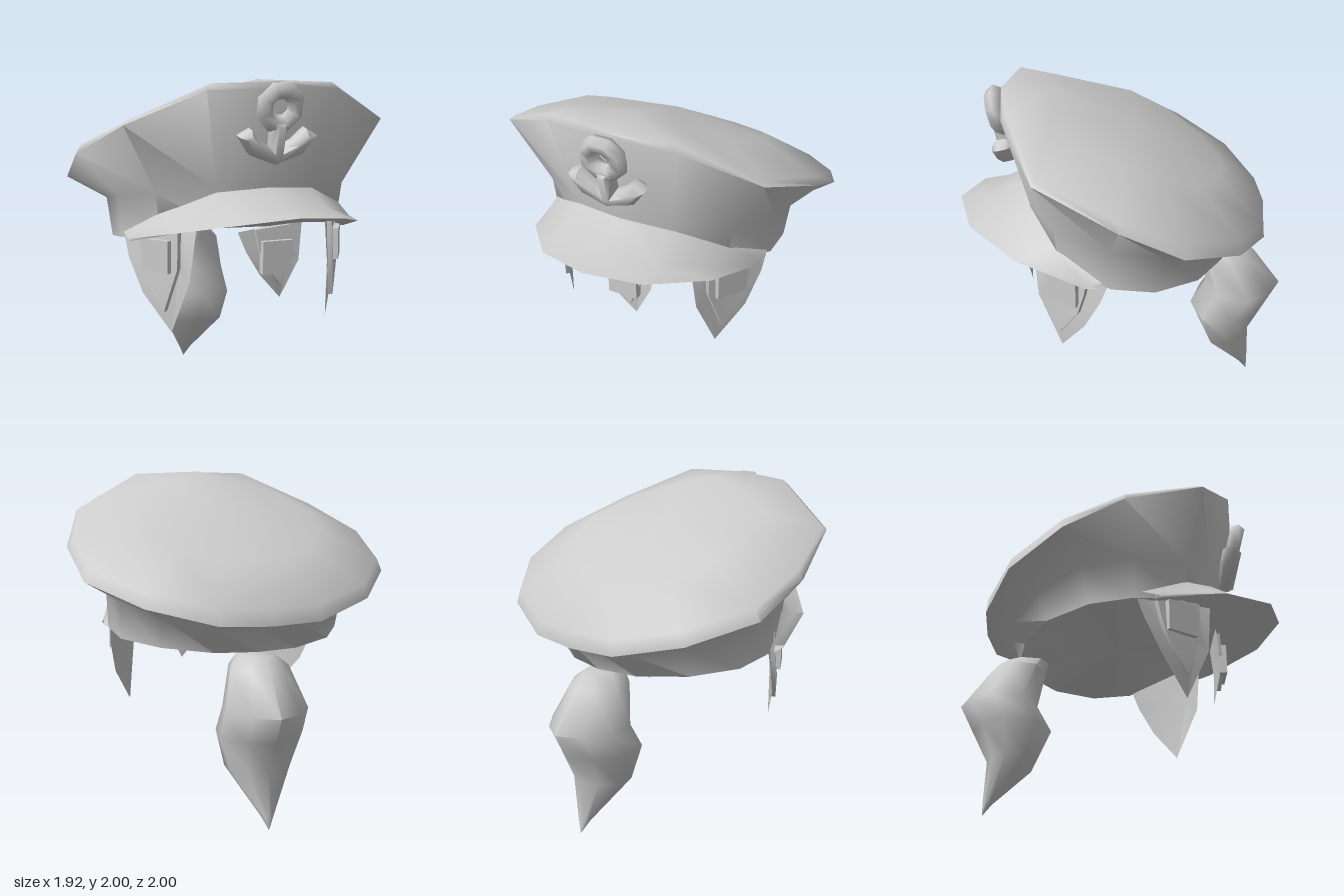
import * as THREE from 'three';
import { toCreasedNormals } from 'three/addons/utils/BufferGeometryUtils.js';

const mat = new THREE.MeshStandardMaterial({ color: 0xcccccc, side: THREE.DoubleSide });

function mesh(name, geo) {
  const m = new THREE.Mesh(geo, mat);
  m.name = name;
  return m;
}

// Surface through rows of equal point count; closed rows wrap around.
function loft(rows, closed, crease) {
  const n = rows[0].length, index = [];
  for (let r = 0; r < rows.length - 1; r++) {
    for (let i = 0; i < (closed ? n : n - 1); i++) {
      const a = r * n + i, b = r * n + (i + 1) % n;
      index.push(a, b, a + n, b, b + n, a + n);
    }
  }
  const g = new THREE.BufferGeometry();
  g.setAttribute('position', new THREE.Float32BufferAttribute(rows.flat(2), 3));
  g.setIndex(index);
  return toCreasedNormals(g, crease);
}

const flip = ([x, y, z]) => [-x, y, z];
// Half outline from front to back -> full closed ring.
const ring = (h) => [...h, ...h.slice(1, -1).reverse().map(flip)];
// Half row from the middle outwards -> full open row.
const row = (h) => [...h.slice(1).reverse().map(flip), ...h];
const point = (p, n) => Array(n).fill(p);

// Cap: underside, band, flared crown and shallow domed top
function cap() {
  const bottom = ring([[0, 1.18, .58], [.3, 1.18, .53], [.57, 1.14, .36], [.71, 1.07, .05],
    [.69, 1.04, -.2], [.52, 1.02, -.45], [.25, 1, -.6], [0, 1, -.65]]);
  const band = ring([[0, 1.4, .59], [.3, 1.4, .54], [.6, 1.37, .37], [.72, 1.32, .05],
    [.71, 1.27, -.25], [.53, 1.2, -.51], [.25, 1.15, -.67], [0, 1.14, -.7]]);
  const rim = ring([[0, 1.96, .715], [.4, 1.95, .66], [.81, 1.76, .46], [.96, 1.57, 0],
    [.93, 1.4, -.35], [.67, 1.28, -.67], [.3, 1.19, -.84], [0, 1.18, -.865]]);
  const edge = ring([[0, 1.995, .71], [.37, 1.985, .64], [.79, 1.78, .44], [.93, 1.62, 0],
    [.9, 1.47, -.35], [.65, 1.36, -.66], [.3, 1.28, -.83], [0, 1.27, -.86]]);
  const dome = ring([[0, 2, .42], [.25, 1.94, .38], [.5, 1.85, .25], [.58, 1.76, -.03],
    [.55, 1.66, -.25], [.4, 1.56, -.45], [.18, 1.51, -.57], [0, 1.5, -.6]]);
  return mesh('cap', loft([point([0, 1.09, -.04], 14), bottom, band, rim, edge, dome,
    point([0, 1.79, -.1], 14)], true, 1.35));
}

// Visor wrapping the front of the band
function visor() {
  return mesh('visor', loft([
    [[0, 1.17, .57], [.3, 1.17, .52], [.57, 1.13, .35], [.7, 1.06, .12]],
    [[0, 1.28, 1], [.32, 1.245, .9], [.585, 1.17, .6], [.71, 1.07, .2]],
    [[0, 1.3, .82], [.3, 1.285, .74], [.57, 1.19, .52], [.715, 1.085, .2]],
    [[0, 1.4, .58], [.3, 1.38, .53], [.58, 1.25, .365], [.71, 1.11, .1]],
  ].map(row), false, 1.4));
}

// Anchor badge leaning with the crown front
function badge() {
  const g = new THREE.Group();
  g.name = 'anchorBadge';
  const loop = mesh('anchorRing', new THREE.TorusGeometry(.098, .052, 6, 8));
  loop.position.y = .15;
  loop.rotation.z = Math.PI / 8;
  const half = [[.045, .08], [.04, -.075], [.095, -.04], [.165, .03], [.235, -.01], [.16, -.115]];
  const outline = [...half, [0, -.175], ...half.slice().reverse().map(([x, y]) => [-x, y])];
  const hook = mesh('anchorHook', toCreasedNormals(new THREE.ExtrudeGeometry(
    new THREE.Shape(outline.map(([x, y]) => new THREE.Vector2(x, y))),
    { depth: .05, bevelThickness: .035, bevelSize: .025, bevelOffset: -.025, bevelSegments: 1 }), 1));
  hook.position.z = -.025;
  g.add(loop, hook);
  g.position.set(0, 1.71, .7);
  g.rotation.x = .24;
  return g;
}

// Pointed lock: bowed leaf with a plain back, a raised inner leaf and a clasp block
function lock(name, sy, clasp) {
  const outer = [[-.28, 1.19, 0], [-.24, .85, .02], [-.09, .53, 0], [.1, .75, .03], [.21, .95, .02], [.27, 1.12, 0]];
  const inner = [[-.17, 1.17, 0], [-.17, .92, .01], [-.07, .66, .01], [.07, .84, .02], [.11, .97, .01], [.14, 1.14, 0]];
  const lift = (pts, d) => pts.map(([u, y, n]) => [u, 1.18 + (y - 1.17) * sy, n + d]);
  const mid = (d) => point([-.02, 1.18 + (.95 - 1.17) * sy, d], 6);
  const g = new THREE.Group();
  g.name = name;
  const block = mesh('clasp', new THREE.BoxGeometry(clasp, .19, .05));
  block.position.set(-.025, 1, .05);
  g.add(mesh('leaf', loft([mid(.005), lift(outer, 0), lift(inner, .005), lift(inner, .035), mid(.045)],
    true, .5)), block);
  return g;
}

// Faceted tail hanging behind: [y, front z, back z, half width, front corner width]
function tail() {
  const rows = [[.985, -.62, -.62, 0, 0], [.985, -.47, -.77, .1, .08], [.92, -.485, -.83, .175, .14],
    [.69, -.53, -1, .25, .2], [.53, -.44, -.92, .255, .21], [.33, -.53, -.82, .185, .18],
    [.08, -.77, -.83, .04, .035], [0, -.83, -.83, 0, 0]];
  return mesh('tail', loft(rows.map(([y, zf, zb, w, c]) => {
    const d = zf - zb;
    return ring([[0, y, zf], [c, y, zf - d * .14], [w, y, zb + d * .45], [w * .55, y, zb + d * .16], [0, y, zb]]);
  }).reverse(), true, 1.3));
}

export function createModel() {
  const group = new THREE.Group();
  group.add(cap(), visor(), badge(), tail());

  // Side locks, mirrored
  for (const s of [1, -1]) {
    const side = new THREE.Group();
    side.name = s > 0 ? 'leftLock' : 'rightLock';
    const l = lock('sideLock', 1, .2);
    l.position.set(.555, 0, .28);
    l.rotation.y = 1.01;
    side.add(l);
    side.scale.x = s;
    group.add(side);
  }

  // Middle lock, narrower and shorter
  const middle = lock('middleLock', .68, .25);
  middle.position.set(.02, 0, .57);
  middle.scale.x = -.74;
  group.add(middle);
  return group;
}
